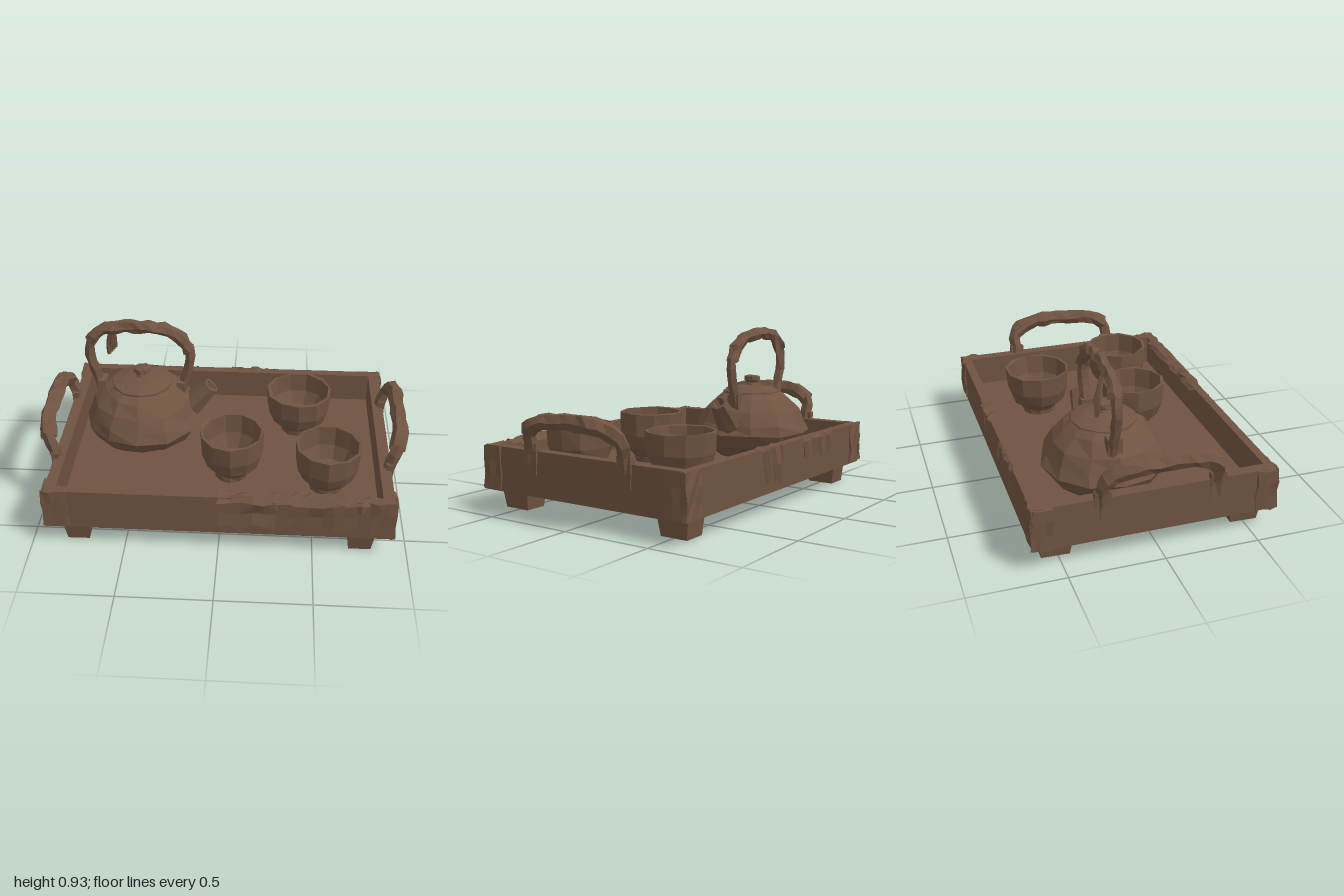
import * as THREE from 'three';

const clay = new THREE.MeshStandardMaterial({ color: 0x6f5341, flatShading: true, side: THREE.DoubleSide });
clay.name = 'weathered brown';

// repeatable roughness: equal positions always move the same way
function roughen(geo, amount) {
  const p = geo.attributes.position;
  const hash = (x, y, z, k) => {
    const s = Math.sin(Math.round(x * 400) * 12.99 + Math.round(y * 400) * 78.23 + Math.round(z * 400) * 37.72 + k * 9.17) * 43758.55;
    return (s - Math.floor(s)) * 2 - 1;
  };
  for (let i = 0; i < p.count; i++) {
    const x = p.getX(i), y = p.getY(i), z = p.getZ(i);
    p.setXYZ(i, x + hash(x, y, z, 1) * amount, y + hash(x, y, z, 2) * amount, z + hash(x, y, z, 3) * amount);
  }
  geo.computeVertexNormals();
  return geo;
}

function add(parent, name, geo, x = 0, y = 0, z = 0) {
  const mesh = new THREE.Mesh(geo, clay);
  mesh.name = name;
  mesh.position.set(x, y, z);
  parent.add(mesh);
  return mesh;
}

const box = (x0, x1, y0, y1, z0, z1) =>
  new THREE.BoxGeometry(x1 - x0, y1 - y0, z1 - z0).translate((x0 + x1) / 2, (y0 + y1) / 2, (z0 + z1) / 2);

const lathe = (points, sides, rough = 0.006) =>
  roughen(new THREE.LatheGeometry(points.map(([r, y]) => new THREE.Vector2(r, y)), sides), rough);

const tube = (points, radius, segments, sides, rough) =>
  roughen(new THREE.TubeGeometry(new THREE.CatmullRomCurve3(points.map(p => new THREE.Vector3(...p))), segments, radius, sides), rough);

// cloth strip: a [z, y] profile stretched along x, with a ragged last row
function cloth(x0, x1, profile, ragged) {
  const cols = 12, rows = profile.length - 1;
  const geo = new THREE.PlaneGeometry(1, 1, cols, rows);
  const p = geo.attributes.position;
  for (let j = 0; j <= rows; j++) for (let i = 0; i <= cols; i++) {
    const drop = j === rows ? Math.sin(i * 2.3) * ragged : 0;
    p.setXYZ(j * (cols + 1) + i, x0 + (x1 - x0) * i / cols, profile[j][1] + drop, profile[j][0]);
  }
  return roughen(geo, 0.009);
}

function buildTray() {
  const tray = new THREE.Group();
  tray.name = 'tray';
  add(tray, 'trayFloor', box(-0.9, 0.9, 0.115, 0.18, -0.64, 0.61));
  add(tray, 'frontWall', box(-0.91, 0.91, 0.115, 0.352, 0.575, 0.62));
  add(tray, 'backWall', box(-0.91, 0.91, 0.115, 0.352, -0.65, -0.6));
  for (const s of [-1, 1]) {
    add(tray, 'sideWall', box(s > 0 ? 0.85 : -0.91, s > 0 ? 0.91 : -0.85, 0.115, 0.352, -0.6, 0.575));

    // tapered feet and worn corner guards
    for (const z of [-0.512, 0.505]) {
      const foot = new THREE.CylinderGeometry(0.5, 0.4, 0.13, 4, 1).rotateY(Math.PI / 4).scale(0.215, 1, 0.262);
      add(tray, 'foot', roughen(foot, 0.004), s * 0.755, 0.067, z);
    }
    for (const [edge, inward] of [[-0.66, 1], [0.63, -1]]) {
      const front = new THREE.BoxGeometry(0.13, 0.225, 0.02, 3, 3, 1);
      add(tray, 'cornerGuard', roughen(front, 0.007), s * 0.855, 0.237, edge + inward * 0.013);
      const side = new THREE.BoxGeometry(0.02, 0.23, 0.11, 1, 3, 3);
      add(tray, 'cornerGuard', roughen(side, 0.007), s * 0.911, 0.237, edge + inward * 0.06);
    }

    // arched carrying handle with a thicker binding on the grip
    const handle = new THREE.Group();
    handle.name = 'trayHandle';
    const path = [[0.885, 0.24, 0.3], [0.9, 0.36, 0.3], [0.935, 0.46, 0.29], [0.953, 0.51, 0.2],
      [0.955, 0.525, 0], [0.953, 0.515, -0.2], [0.935, 0.465, -0.295], [0.9, 0.36, -0.3], [0.885, 0.24, -0.3]]
      .map(([x, y, z]) => [s * x, y, z]);
    add(handle, 'handleFrame', tube(path, 0.035, 22, 5, 0.004));
    add(handle, 'gripBinding', tube(path.slice(2, 7), 0.043, 12, 6, 0.007));
    for (const z of [-0.3, 0.3]) {
      add(handle, 'handleBracket', roughen(new THREE.BoxGeometry(0.04, 0.16, 0.08, 1, 2, 1), 0.005), s * 0.902, 0.31, z);
    }
    tray.add(handle);
  }

  // torn cloth over the front rim and smaller patches on the back
  add(tray, 'frontCloth', cloth(0, 0.72, [[0.548, 0.34], [0.568, 0.362], [0.61, 0.364], [0.642, 0.335], [0.637, 0.26], [0.645, 0.18]], 0.025));
  add(tray, 'hangingScrap', cloth(0.25, 0.78, [[0.55, 0.35], [0.6, 0.366], [0.635, 0.34], [0.635, 0.3]], 0.012));
  add(tray, 'backPatch', cloth(0.0, 0.28, [[-0.61, 0.358], [-0.66, 0.35], [-0.664, 0.26], [-0.66, 0.17]], 0.02));
  add(tray, 'backPatch', cloth(-0.55, -0.2, [[-0.645, 0.356], [-0.66, 0.34], [-0.66, 0.24]], 0.02));
  return tray;
}

function buildTeapot() {
  const pot = new THREE.Group();
  pot.name = 'teapot';
  pot.position.set(-0.48, 0, -0.16);
  add(pot, 'potBody', lathe([[0, 0.18], [0.2, 0.18], [0.29, 0.25], [0.335, 0.325], [0.31, 0.38],
    [0.275, 0.455], [0.215, 0.52], [0.165, 0.55], [0, 0.55]], 12, 0.007));
  add(pot, 'lid', lathe([[0, 0.545], [0.172, 0.545], [0.172, 0.558], [0.1, 0.58], [0.035, 0.59],
    [0.028, 0.605], [0.047, 0.618], [0.045, 0.642], [0, 0.65]], 12, 0.003));

  // short faceted spout with an open mouth
  const spout = lathe([[0.085, 0], [0.065, 0.15], [0.048, 0.29], [0.033, 0.29], [0.02, 0.2], [0, 0.2]], 7, 0.004);
  add(pot, 'spout', spout, 0.2, 0.31, -0.015).rotation.z = -0.73;

  // tall bail handle with a wrapped grip
  const bail = [[-0.235, 0.47], [-0.265, 0.58], [-0.295, 0.7], [-0.285, 0.79], [-0.225, 0.86], [-0.12, 0.885],
    [0, 0.888], [0.12, 0.875], [0.215, 0.83], [0.272, 0.75], [0.262, 0.64], [0.235, 0.54], [0.22, 0.47]]
    .map(([x, y]) => [x, y, -0.025]);
  add(pot, 'bailHandle', tube(bail, 0.029, 26, 6, 0.004));
  add(pot, 'gripWrap', tube(bail.slice(3, 10), 0.036, 16, 6, 0.008));
  for (const x of [-0.232, 0.222]) {
    add(pot, 'handleLug', roughen(new THREE.BoxGeometry(0.05, 0.11, 0.075), 0.006), x, 0.5, -0.02);
  }

  // frayed cord ends tied to the grip
  for (let i = 0; i < 4; i++) {
    const x = -0.2 + i * 0.013;
    add(pot, 'cordEnd', tube([[-0.17, 0.87, -0.06], [x + 0.005, 0.78, -0.08], [x, 0.67 + i * 0.015, -0.095]], 0.011, 4, 4, 0.003));
  }
  return pot;
}

function buildCup([x, z, radius, top]) {
  const h = top - 0.18;
  const profile = [[0, 0], [0.52, 0], [0.55, 0.12], [0.82, 0.3], [0.97, 0.58], [1, 1],
    [0.91, 1], [0.86, 0.6], [0.65, 0.32], [0.3, 0.2], [0, 0.18]];
  const geo = lathe(profile.map(([r, y]) => [r * radius, y * h]), 11, 0.004);
  const cup = new THREE.Mesh(geo, clay);
  cup.name = 'cup';
  cup.position.set(x, 0.18, z);
  return cup;
}

export function createModel() {
  const model = new THREE.Group();
  model.name = 'teaTray';
  model.add(buildTray(), buildTeapot());
  for (const cup of [[0.42, -0.28, 0.188, 0.445], [0.05, 0.19, 0.178, 0.465], [0.575, 0.265, 0.182, 0.455]]) {
    model.add(buildCup(cup));
  }
  return model;
}
